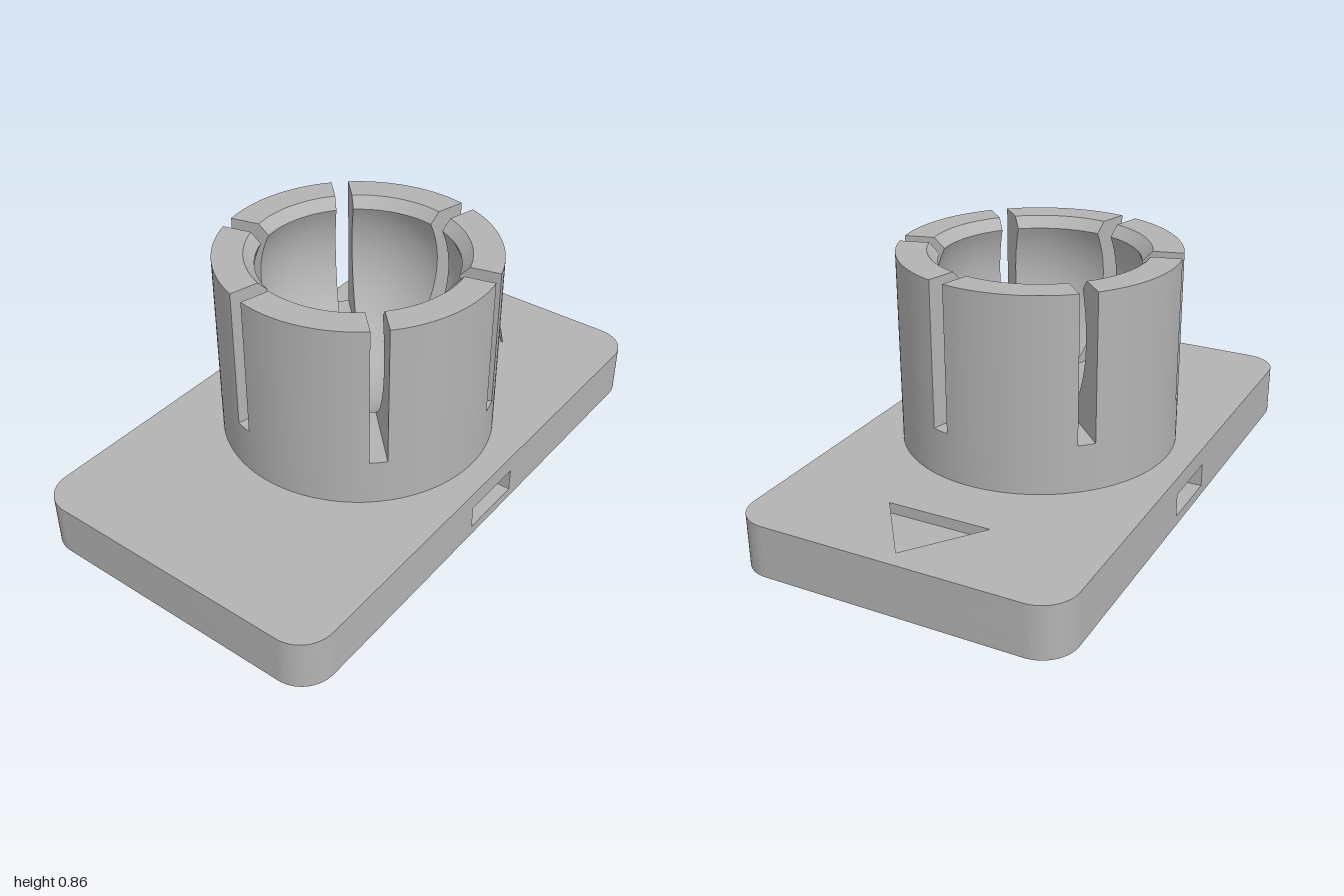
import * as THREE from 'three';
import { toCreasedNormals } from 'three/addons/utils/BufferGeometryUtils.js';

const HALF_Z = 0.575, CORNER = 0.12, PLATE_TOP = 0.183;
const OUTER = 0.485, CUP_TOP = 0.863, SLOT_FLOOR = 0.35, SLOT_HALF = 0.03;
const BALL_R = 0.382, BALL_Y = 0.66, LIP_Y = 0.825;
const CREASE = 0.5;

// Points along the spherical socket, from height yA down to yB
function socketArc(yA, yB, steps) {
  const a = Math.asin((yA - BALL_Y) / BALL_R);
  const b = Math.asin(Math.max(-1, (yB - BALL_Y) / BALL_R));
  return Array.from({ length: steps + 1 }, (_, i) => {
    const t = a + (b - a) * i / steps;
    return new THREE.Vector2(Math.max(0, BALL_R * Math.cos(t)), BALL_Y + BALL_R * Math.sin(t));
  });
}

// Plate outline from x0 to x1, with separate corner radii on each end
function outline(x0, x1, r0, r1) {
  const s = new THREE.Shape();
  s.moveTo(x0 + r0, -HALF_Z);
  s.lineTo(x1 - r1, -HALF_Z);
  if (r1) s.absarc(x1 - r1, -HALF_Z + r1, r1, -Math.PI / 2, 0);
  else s.lineTo(x1, -HALF_Z);
  s.lineTo(x1, HALF_Z - r1);
  if (r1) s.absarc(x1 - r1, HALF_Z - r1, r1, 0, Math.PI / 2);
  s.lineTo(x0 + r0, HALF_Z);
  if (r0) s.absarc(x0 + r0, HALF_Z - r0, r0, Math.PI / 2, Math.PI);
  s.lineTo(x0, -HALF_Z + r0);
  if (r0) s.absarc(x0 + r0, -HALF_Z + r0, r0, Math.PI, Math.PI * 1.5);
  s.closePath();
  return s;
}

// Flat layer between two heights
function layer(shape, y0, y1) {
  const g = new THREE.ExtrudeGeometry(shape, { depth: y1 - y0, bevelEnabled: false, curveSegments: 14 });
  g.rotateX(-Math.PI / 2).translate(0, y0, 0);
  return toCreasedNormals(g, CREASE);
}

// One springy finger: the cup profile swept between two parallel-sided slots
function fingerGeometry(start, end, steps = 24) {
  const profile = [
    new THREE.Vector2(OUTER, SLOT_FLOOR),
    new THREE.Vector2(OUTER, CUP_TOP),
    new THREE.Vector2(0.38, CUP_TOP),
    ...socketArc(LIP_Y, SLOT_FLOOR, 20),
  ];
  const point = (i, j) => {
    const { x: r, y } = profile[i];
    const inset = Math.asin(SLOT_HALF / r);
    const a = start + inset + (end - start - 2 * inset) * j / steps;
    return [r * Math.cos(a), y, r * Math.sin(a)];
  };
  const pos = [];
  for (let i = 0; i < profile.length - 1; i++) {
    for (let j = 0; j < steps; j++) {
      const a = point(i, j), b = point(i + 1, j), c = point(i, j + 1), d = point(i + 1, j + 1);
      pos.push(...a, ...b, ...c, ...b, ...d, ...c);
    }
  }
  // slot walls at both ends
  for (const [a, b, c] of THREE.ShapeUtils.triangulateShape(profile, [])) {
    pos.push(...point(a, 0), ...point(c, 0), ...point(b, 0));
    pos.push(...point(a, steps), ...point(b, steps), ...point(c, steps));
  }
  const g = new THREE.BufferGeometry();
  g.setAttribute('position', new THREE.Float32BufferAttribute(pos, 3));
  return toCreasedNormals(g, CREASE);
}

export function createModel() {
  const model = new THREE.Group();
  model.name = 'socketMount';
  const grey = new THREE.MeshStandardMaterial({ color: 0xb3b3b3 });
  grey.name = 'grey plastic';
  const add = (parent, name, geometry) => {
    const mesh = new THREE.Mesh(geometry, grey);
    mesh.name = name;
    parent.add(mesh);
  };

  // Base plate with a through channel and a triangular recess
  const plate = new THREE.Group();
  plate.name = 'basePlate';
  const full = () => outline(-1, 1, CORNER, CORNER);
  const recessFloor = 0.146, channelLow = 0.035, channelHigh = 0.118;
  add(plate, 'plateBottom', layer(full(), 0, channelLow));
  add(plate, 'plateMiddleRight', layer(outline(-1, -0.12, CORNER, 0), channelLow, channelHigh));
  add(plate, 'plateMiddleLeft', layer(outline(0.12, 1, 0, CORNER), channelLow, channelHigh));
  add(plate, 'plateUpper', layer(full(), channelHigh, recessFloor));
  const top = full();
  top.holes.push(new THREE.Path([
    new THREE.Vector2(0.695, -0.183),
    new THREE.Vector2(0.695, 0.183),
    new THREE.Vector2(0.94, 0),
  ]));
  add(plate, 'plateTop', layer(top, recessFloor, PLATE_TOP));
  model.add(plate);

  // Cup: solid lower ring with the socket bottom, then six fingers
  const cup = new THREE.Group();
  cup.name = 'socketCup';
  const lower = new THREE.LatheGeometry([
    new THREE.Vector2(OUTER, PLATE_TOP),
    new THREE.Vector2(OUTER, SLOT_FLOOR),
    ...socketArc(SLOT_FLOOR, BALL_Y - BALL_R, 10),
  ], 120);
  add(cup, 'cupBase', toCreasedNormals(lower, CREASE));
  for (let k = 0; k < 6; k++) {
    const start = Math.PI / 12 + k * Math.PI / 3;
    add(cup, 'cupFinger' + (k + 1), fingerGeometry(start, start + Math.PI / 3));
  }
  model.add(cup);
  return model;
}
